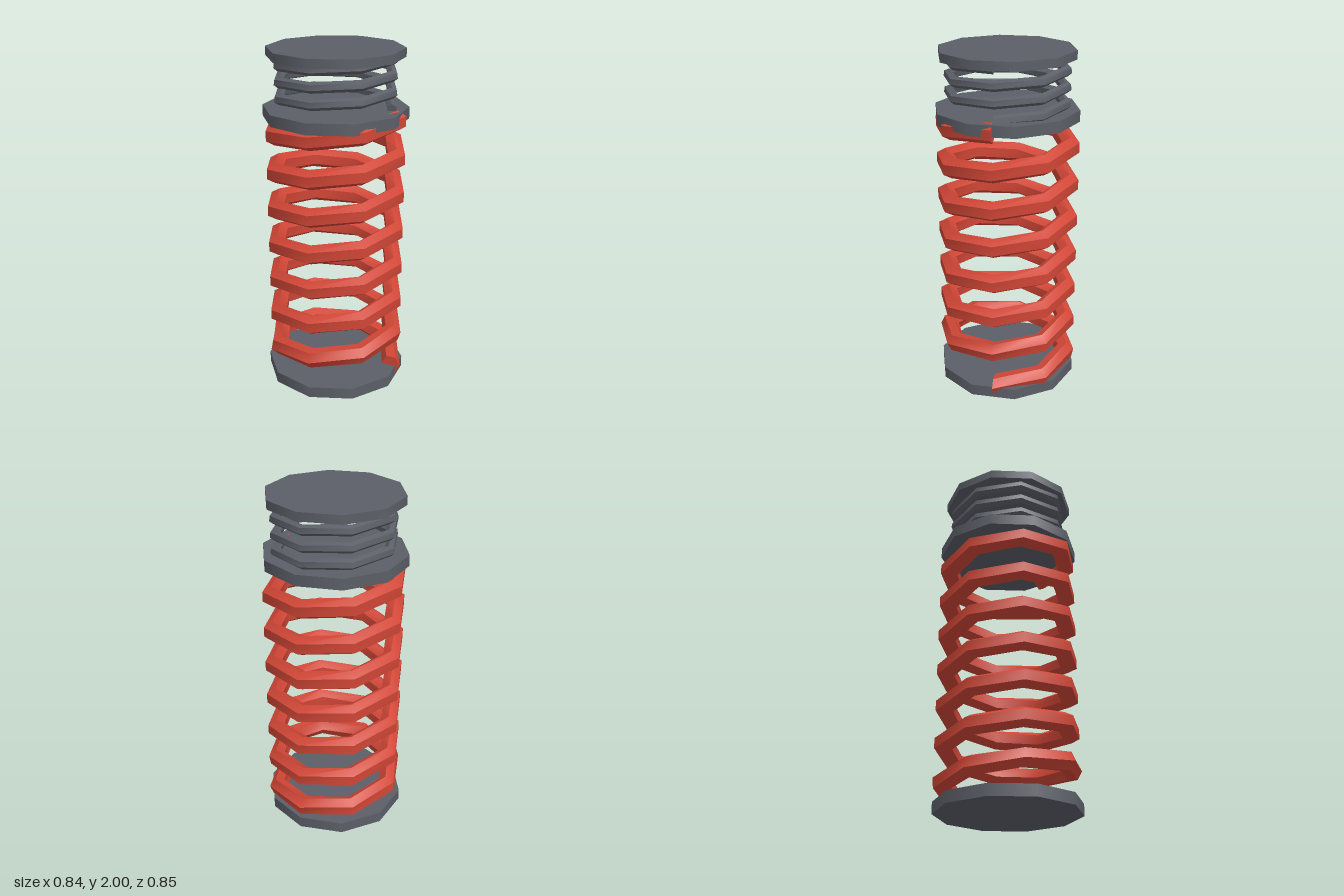
import * as THREE from 'three';
import { toCreasedNormals } from 'three/addons/utils/BufferGeometryUtils.js';

const SIDES = 6;

// Hexagonal bar swept along an eight-sided helix that starts at +x and climbs towards -z
function coilGeometry({ radius, bar, y0, y1, turns, roll }) {
  const steps = turns * 8;
  const rings = [];
  for (let i = 0; i <= steps; i++) {
    const a = (i * Math.PI) / 4;
    const y = y0 + ((y1 - y0) * i) / steps;
    const ring = [];
    for (let j = 0; j < SIDES; j++) {
      const c = ((j + 0.5) * 2 * Math.PI) / SIDES + roll(i / 8);
      const r = radius + Math.cos(c) * bar;
      ring.push([r * Math.cos(a), y + Math.sin(c) * bar, -r * Math.sin(a)]);
    }
    rings.push(ring);
  }
  const pos = [];
  const tri = (a, b, c) => pos.push(...a, ...b, ...c);
  for (let i = 0; i < steps; i++) {
    for (let j = 0; j < SIDES; j++) {
      const k = (j + 1) % SIDES;
      tri(rings[i][j], rings[i + 1][j], rings[i + 1][k]);
      tri(rings[i][j], rings[i + 1][k], rings[i][k]);
    }
  }
  // End caps
  const start = rings[0];
  const end = rings[steps];
  for (let j = 1; j < SIDES - 1; j++) {
    tri(start[0], start[j], start[j + 1]);
    tri(end[0], end[j + 1], end[j]);
  }
  const geo = new THREE.BufferGeometry();
  geo.setAttribute('position', new THREE.Float32BufferAttribute(pos, 3));
  // Smooth along the coil, sharp between the sides of the bar
  return toCreasedNormals(geo, 0.9);
}

export function createModel() {
  const steel = new THREE.MeshStandardMaterial({ color: 0x5c5f68 });
  steel.name = 'steel grey';
  const red = new THREE.MeshStandardMaterial({ color: 0xd04636 });
  red.name = 'spring red';

  const group = new THREE.Group();
  group.name = 'coilSpring';
  const add = (name, geo, mat) => {
    const mesh = new THREE.Mesh(geo, mat);
    mesh.name = name;
    mesh.position.x = -0.004;
    group.add(mesh);
  };

  // Ten-sided plates: radius, bottom, top
  const plates = [
    ['bottomPlate', 0.415, 0, 0.067],
    ['middlePlate', 0.415, 1.605, 1.67],
    ['topPlate', 0.39, 1.95, 2],
  ];
  for (const [name, r, lo, hi] of plates) {
    const geo = new THREE.CylinderGeometry(r, r, hi - lo, 10);
    geo.translate(0, (lo + hi) / 2, 0);
    add(name, geo, steel);
  }

  // Large spring, its bar twisted through the first turn
  add('mainSpring', coilGeometry({
    radius: 0.367, bar: 0.058, y0: 0.075, y1: 1.62, turns: 7,
    roll: (t) => -0.4 * Math.PI * Math.max(0, 1.25 - t),
  }), red);

  // Small spring between the upper plates
  add('upperSpring', coilGeometry({
    radius: 0.335, bar: 0.03, y0: 1.678, y1: 1.955, turns: 3,
    roll: () => 0.15,
  }), steel);

  return group;
}
